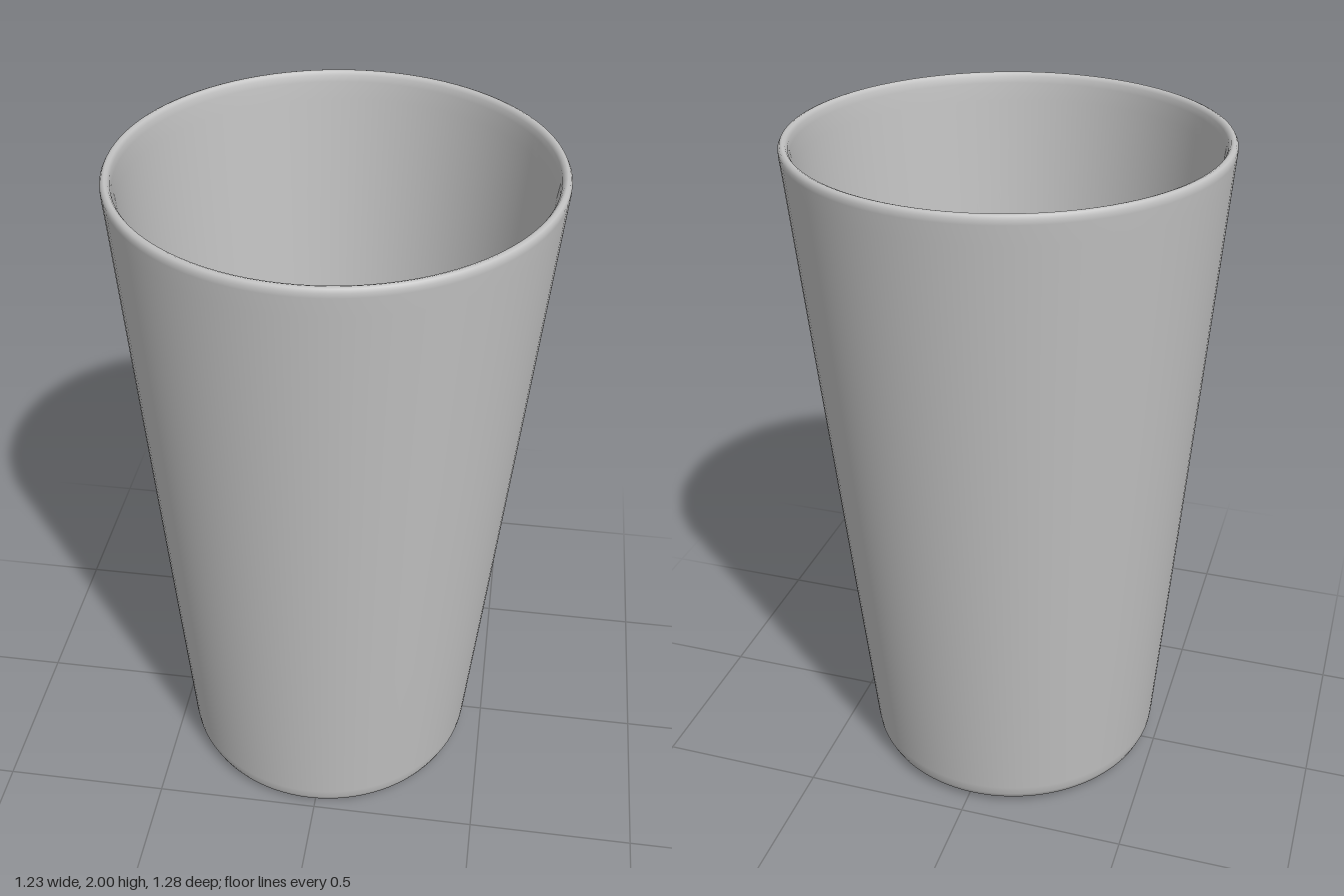
import * as THREE from 'three';

// Closed cup outline [radius, height]: underside, outer wall, rim, inner wall, floor
const PROFILE = [
  [0, 0], [0.40, 0.004], [0.425, 0.006], [0.448, 0.012], [0.463, 0.024], [0.471, 0.042], [0.475, 0.07],
  [0.52, 0.58], [0.58, 1.28], [0.634, 1.92],
  [0.639, 1.975], [0.639, 1.988], [0.634, 1.997], [0.626, 2.0], [0.618, 1.997], [0.612, 1.988], [0.609, 1.97],
  [0.604, 1.92], [0.55, 1.28], [0.488, 0.58], [0.439, 0.09],
  [0.436, 0.068], [0.430, 0.058], [0.420, 0.054], [0.40, 0.053], [0, 0.053],
];

export function createModel() {
  const group = new THREE.Group();
  group.name = 'tumbler';

  const grey = new THREE.MeshStandardMaterial({ color: 0xc2c2c2 });
  grey.name = 'light grey';

  const points = PROFILE.map(([r, y]) => new THREE.Vector2(r, y));
  const geometry = new THREE.LatheGeometry(points, 96);

  // Slightly oval section, with the base leaning off the rim's centre
  geometry.applyMatrix4(new THREE.Matrix4().set(
    0.965, 0.009, 0, -0.018,
    0, 1, 0, 0,
    0, -0.0115, 1, 0.023,
    0, 0, 0, 1,
  ));

  const cup = new THREE.Mesh(geometry, grey);
  cup.name = 'cup';
  group.add(cup);
  return group;
}
